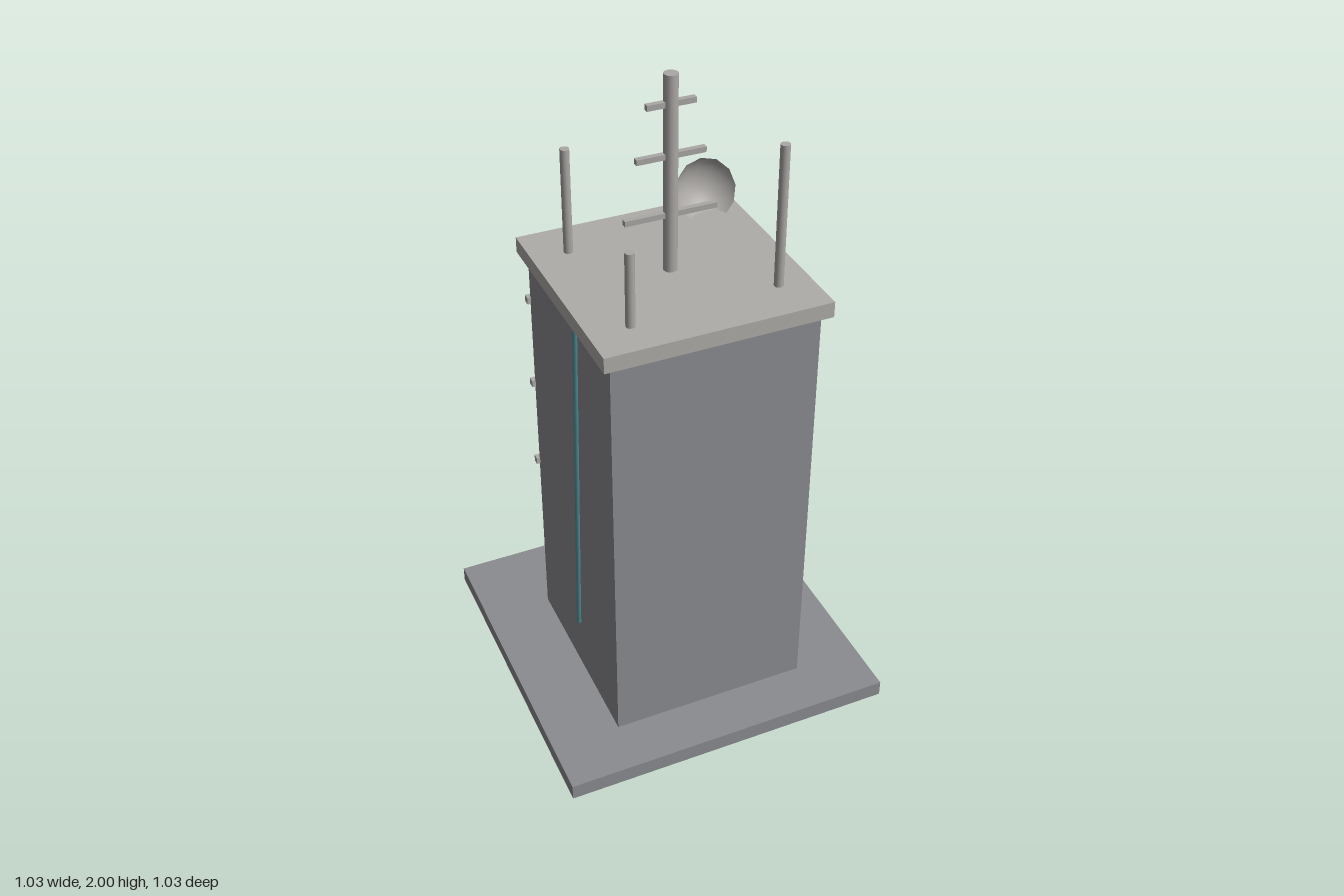
import * as THREE from 'three';

const flat = (name, color, side = THREE.FrontSide) => {
  const m = new THREE.MeshStandardMaterial({ color, side });
  m.name = name;
  return m;
};

export function createModel() {
  const model = new THREE.Group();
  model.name = 'antennaTower';

  const concrete = flat('concrete', 0x8b8c90);
  const panelGrey = flat('panelGrey', 0x86878c);
  const stone = flat('paleStone', 0xafada9);
  const metal = flat('metal', 0xaba8a5, THREE.DoubleSide);
  const teal = flat('teal', 0x4f8c94);
  const rose = flat('dullRose', 0xa08a90);

  const add = (name, geometry, material, x, y, z, parent = model) => {
    const mesh = new THREE.Mesh(geometry, material);
    mesh.name = name;
    mesh.position.set(x, y, z);
    parent.add(mesh);
    return mesh;
  };
  // Box given by its centre in x and z and its bottom and top heights
  const box = (name, mat, w, y0, y1, d, x, z) =>
    add(name, new THREE.BoxGeometry(w, y1 - y0, d), mat, x, (y0 + y1) / 2, z);
  // Round rod between two points
  const rod = (name, mat, a, b, r, sides) => {
    const p = new THREE.Vector3(...a), q = new THREE.Vector3(...b);
    const mid = p.clone().add(q).multiplyScalar(0.5);
    const mesh = add(name, new THREE.CylinderGeometry(r, r, p.distanceTo(q), sides), mat, mid.x, mid.y, mid.z);
    mesh.quaternion.setFromUnitVectors(new THREE.Vector3(0, 1, 0), q.sub(p).normalize());
    return mesh;
  };

  // Building masses
  const cz = 0.048, backZ = -0.259, roofY = 1.425;
  box('base', concrete, 1.03, 0, 0.05, 1.03, 0, 0);
  box('tower', concrete, 0.61, 0.05, 1.38, 0.614, 0, cz);
  box('roofSlab', stone, 0.66, 1.378, roofY, 0.662, 0, cz);
  box('sideUnit', concrete, 0.122, 0.06, 0.232, 0.122, 0.391, -0.148);

  // Central mast with square crossbars
  rod('mast', metal, [0, roofY, cz], [0, 2, cz], 0.02, 16);
  for (const [y, half] of [[1.597, 0.135], [1.77, 0.1], [1.917, 0.07]])
    box('crossbar', metal, half * 2, y - 0.008, y + 0.008, 0.016, 0, cz);

  // Whip antennas
  for (const [x, z, top] of [[0.232, 0.243, 1.845], [-0.21, 0.267, 1.645], [-0.222, -0.15, 1.742]])
    rod('antenna', metal, [x, roofY, z], [x, top, z], 0.0135, 12);

  // Dish: spherical cap opening forwards and slightly upwards, sunk into the roof
  const cap = new THREE.SphereGeometry(0.11, 12, 6, 0, Math.PI * 2, 0, Math.PI / 3);
  cap.rotateX(-Math.PI / 2 - 0.38);
  add('dish', cap, metal, 0.22, 1.516, -0.147);

  // Cables running down the side walls
  for (const [x, zTop, zBottom] of [[0.309, 0.12, 0.178], [0.309, -0.064, -0.132], [-0.309, 0.12, 0.055]])
    rod('cable', teal, [x, 1.38, zTop], [x, 0.228, zBottom], 0.008, 8);

  // Three back storeys, each with a ledge and two window panels
  for (let i = 0; i < 3; i++) {
    const y = 0.639 + i * 0.293;
    box('ledge', stone, 0.632, y - 0.011, y + 0.011, 0.02, 0, backZ - 0.005);
    for (const s of [-1, 1])
      box('windowPanel', panelGrey, 0.2, y - 0.201, y - 0.043, 0.014, s * 0.148, backZ - 0.001);
  }

  // Control panel with a grid of indicator lights
  box('controlPanel', panelGrey, 0.52, 0.079, 0.344, 0.014, 0, backZ - 0.001);
  for (let row = 0; row < 3; row++)
    for (let col = 0; col < 6; col++) {
      const y = 0.121 + row * 0.075;
      box('indicatorLight', (col + row * 2) % 3 === 1 ? rose : teal, 0.026, y - 0.013, y + 0.013,
        0.009, (col - 2.5) * 0.073, backZ - 0.0105);
    }

  return model;
}
